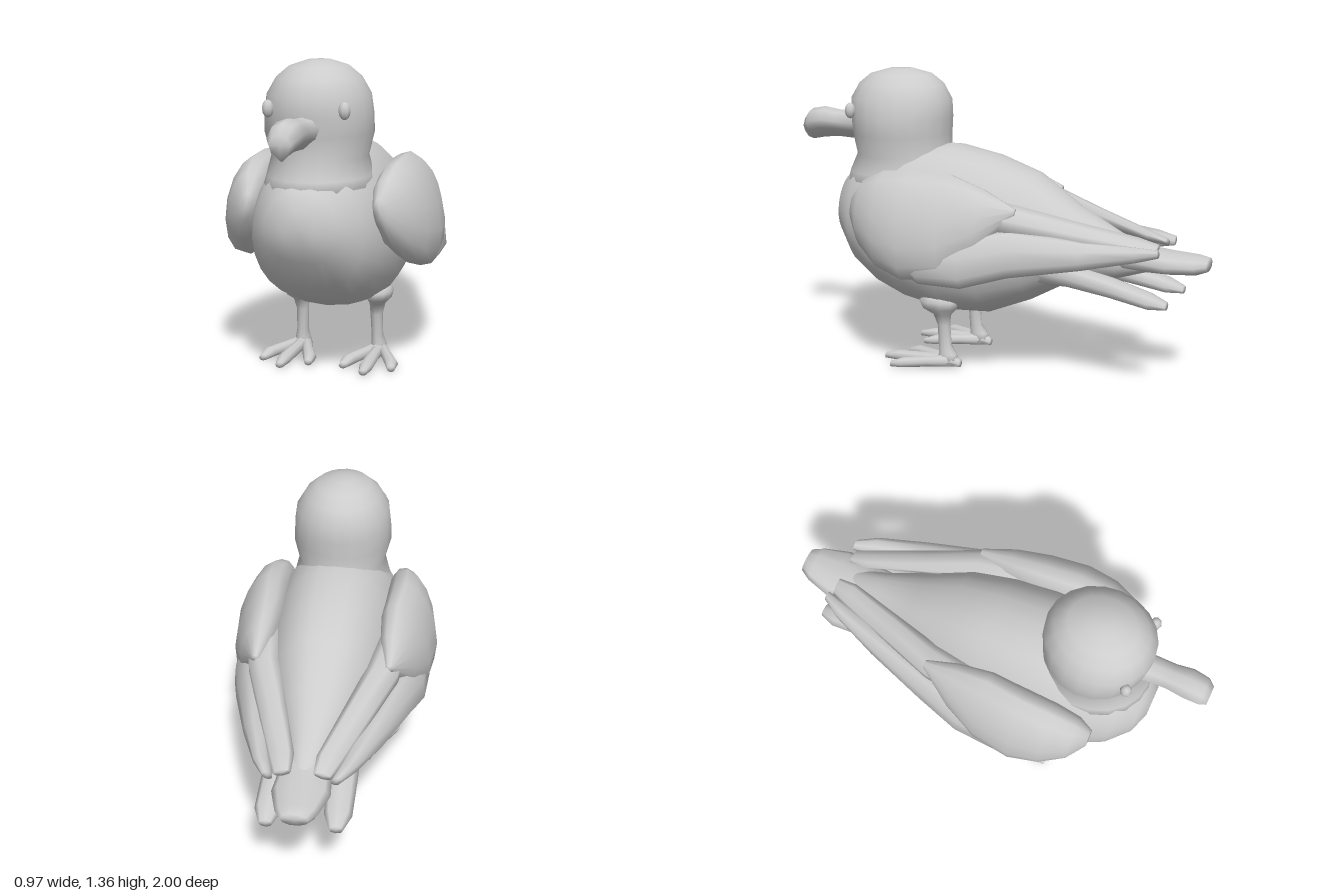
import * as THREE from 'three';

const plain = new THREE.MeshStandardMaterial({ color: 0xcccccc });
plain.name = 'plain grey';

// Closed skin over a row of rings, each ring being a list of Vector3
function skin(name, rings) {
  const n = rings[0].length, pos = [], idx = [];
  rings.forEach(r => r.forEach(p => pos.push(p.x, p.y, p.z)));
  for (let i = 0; i < rings.length - 1; i++) {
    for (let j = 0; j < n; j++) {
      const a = i * n + j, b = i * n + (j + 1) % n;
      idx.push(a, b, b + n, a, b + n, a + n);
    }
  }
  // End caps
  [rings[0], rings[rings.length - 1]].forEach((r, k) => {
    const c = r.reduce((s, p) => s.add(p), new THREE.Vector3()).divideScalar(n);
    const ci = pos.length / 3, base = k ? (rings.length - 1) * n : 0;
    pos.push(c.x, c.y, c.z);
    for (let j = 0; j < n; j++) {
      const a = base + j, b = base + (j + 1) % n;
      if (k) idx.push(a, b, ci); else idx.push(b, a, ci);
    }
  });
  const g = new THREE.BufferGeometry();
  g.setAttribute('position', new THREE.Float32BufferAttribute(pos, 3));
  g.setIndex(idx);
  g.computeVertexNormals();
  const mesh = new THREE.Mesh(g, plain);
  mesh.name = name;
  return mesh;
}

// Rings along z (back to front): [z, x, y, half width, half height, tilt]
function alongZ(name, rows, sides, side = 1, pear = 0, power = 1) {
  return skin(name, rows.map(([z, x, y, rx, ry, tilt = 0]) =>
    Array.from({ length: sides }, (_, j) => {
      const t = (j / sides) * Math.PI * 2, c = Math.cos(t), s = Math.sin(t);
      const u = Math.sign(c) * Math.abs(c) ** power * rx * (1 - pear * s), v = s * ry;
      const k = Math.cos(tilt * side), q = Math.sin(tilt * side);
      return new THREE.Vector3(x * side + u * k - v * q, y + u * q + v * k, z);
    })));
}

// Rings along y (bottom to top): [y, x, z, half width, half depth]
function alongY(name, rows, sides, side = 1) {
  return skin(name, rows.map(([y, x, z, rx, rz]) =>
    Array.from({ length: sides }, (_, j) => {
      const t = (j / sides) * Math.PI * 2;
      return new THREE.Vector3(x * side + Math.sin(t) * rx, y, z + Math.cos(t) * rz);
    })));
}

export function createModel() {
  const bird = new THREE.Group();
  bird.name = 'bird';

  // Pear-shaped body, narrowing into the tail
  bird.add(alongZ('body', [
    [-0.75, 0, 0.56, 0.06, 0.05],
    [-0.6, 0, 0.565, 0.1, 0.1],
    [-0.4, 0, 0.605, 0.17, 0.165],
    [-0.2, 0, 0.62, 0.25, 0.29],
    [0, 0, 0.615, 0.295, 0.365],
    [0.2, 0, 0.63, 0.315, 0.39],
    [0.4, 0, 0.65, 0.315, 0.37],
    [0.55, 0, 0.665, 0.285, 0.325],
    [0.66, 0, 0.68, 0.24, 0.26],
    [0.75, 0, 0.7, 0.16, 0.15],
    [0.785, 0, 0.7, 0.07, 0.07],
  ], 28, 1, 0.12, 0.85));

  // Neck and domed head
  bird.add(alongY('head', [
    [0.78, 0, 0.48, 0.25, 0.29],
    [0.88, 0, 0.475, 0.225, 0.265],
    [0.96, 0, 0.475, 0.205, 0.228],
    [1.06, 0, 0.483, 0.232, 0.235],
    [1.14, 0, 0.485, 0.229, 0.243],
    [1.22, 0, 0.487, 0.218, 0.243],
    [1.29, 0, 0.485, 0.178, 0.205],
    [1.335, 0, 0.485, 0.125, 0.15],
    [1.36, 0, 0.485, 0.05, 0.06],
  ], 20));

  // Blunt hooked beak with a keeled underside
  const kite = [[1, 0.2], [0.65, 0.8], [0, 1], [-0.65, 0.8], [-1, 0.2], [-0.75, -0.35], [0, -1], [0.75, -0.35]];
  bird.add(skin('beak', [
    [0.62, 1.08, 0.1, 0.08],
    [0.73, 1.08, 0.062, 0.065],
    [0.82, 1.085, 0.06, 0.065],
    [0.9, 1.088, 0.07, 0.074],
    [0.97, 1.075, 0.064, 0.074],
    [1.0, 1.06, 0.045, 0.05],
  ].map(([z, y, w, h]) => kite.map(([u, v]) => new THREE.Vector3(u * w, y + v * h, z)))));

  // Tail fan
  bird.add(alongZ('tail', [
    [-1, 0, 0.56, 0.06, 0.03],
    [-0.95, 0, 0.555, 0.09, 0.044],
    [-0.83, 0, 0.555, 0.125, 0.05],
    [-0.65, 0, 0.565, 0.11, 0.06],
    [-0.4, 0, 0.58, 0.1, 0.08],
  ], 10));

  for (const side of [1, -1]) {
    const label = side > 0 ? 'left' : 'right';

    const eye = new THREE.Mesh(new THREE.SphereGeometry(1, 8, 6), plain);
    eye.name = label + 'Eye';
    eye.scale.set(0.026, 0.037, 0.026);
    eye.position.set(0.163 * side, 1.17, 0.672);
    bird.add(eye);

    // Wing: shoulder shell over two layers of flight feathers
    const wing = new THREE.Group();
    wing.name = label + 'Wing';
    wing.add(alongZ('wingShoulder', [
      [-0.21, 0.3, 0.785, 0.02, 0.015, 0.3],
      [-0.06, 0.325, 0.74, 0.075, 0.14, 0.3],
      [0.1, 0.345, 0.705, 0.105, 0.235, 0.28],
      [0.28, 0.358, 0.7, 0.115, 0.25, 0.25],
      [0.42, 0.345, 0.715, 0.105, 0.22, 0.22],
      [0.53, 0.32, 0.73, 0.08, 0.15, 0.2],
      [0.595, 0.295, 0.74, 0.03, 0.06, 0.2],
    ], 14, side));
    wing.add(alongZ('outerFeathers', [
      [-0.81, 0.145, 0.62, 0.025, 0.018, 0.5],
      [-0.72, 0.18, 0.615, 0.045, 0.035, 0.5],
      [-0.5, 0.25, 0.605, 0.055, 0.065, 0.5],
      [-0.2, 0.335, 0.61, 0.06, 0.11, 0.35],
      [0, 0.385, 0.57, 0.06, 0.125, 0.3],
      [0.2, 0.4, 0.56, 0.06, 0.11, 0.25],
      [0.38, 0.38, 0.6, 0.04, 0.07, 0.2],
    ], 8, side));
    wing.add(alongZ('innerFeathers', [
      [-0.79, 0.085, 0.625, 0.04, 0.015, -0.3],
      [-0.7, 0.105, 0.64, 0.06, 0.027, -0.3],
      [-0.45, 0.185, 0.685, 0.07, 0.045, -0.4],
      [-0.2, 0.265, 0.735, 0.08, 0.065, -0.5],
      [0.05, 0.3, 0.77, 0.08, 0.08, -0.5],
    ], 8, side));
    bird.add(wing);

    // Lower tail feather
    bird.add(alongZ(label + 'LowerTailFeather', [
      [-0.855, 0.15, 0.395, 0.03, 0.018],
      [-0.78, 0.15, 0.41, 0.06, 0.037],
      [-0.6, 0.14, 0.45, 0.07, 0.045],
      [-0.4, 0.135, 0.485, 0.07, 0.055],
      [-0.2, 0.13, 0.5, 0.07, 0.07],
    ], 8, side));

    // Leg with a feathered thigh cuff
    const leg = new THREE.Group();
    leg.name = label + 'Leg';
    leg.add(alongY('shin', [
      [0.02, 0.18, 0.17, 0.04, 0.055],
      [0.06, 0.18, 0.175, 0.033, 0.045],
      [0.1, 0.177, 0.188, 0.026, 0.032],
      [0.2, 0.175, 0.195, 0.028, 0.03],
      [0.25, 0.18, 0.2, 0.035, 0.045],
      [0.28, 0.19, 0.21, 0.055, 0.085],
      [0.315, 0.198, 0.212, 0.056, 0.098],
      [0.335, 0.195, 0.21, 0.04, 0.075],
    ], 10, side));
    // Three front toes and a heel: tip x, tip z
    for (const [tx, tz] of [[0.08, 0.42], [0.19, 0.49], [0.295, 0.41]]) {
      const at = k => 0.18 + (tx - 0.18) * k;
      const dz = tz - 0.14;
      leg.add(alongZ('toe', [
        [0.14, 0.18, 0.03, 0.03, 0.03],
        [0.14 + dz * 0.4, at(0.45), 0.028, 0.026, 0.026],
        [0.14 + dz * 0.8, at(0.9), 0.025, 0.032, 0.024],
        [tz, at(1), 0.016, 0.018, 0.014],
      ], 8, side));
    }
    leg.add(alongZ('heel', [
      [0.11, 0.18, 0.02, 0.018, 0.018],
      [0.15, 0.18, 0.03, 0.035, 0.03],
      [0.22, 0.18, 0.03, 0.035, 0.03],
    ], 8, side));
    bird.add(leg);
  }
  return bird;
}
